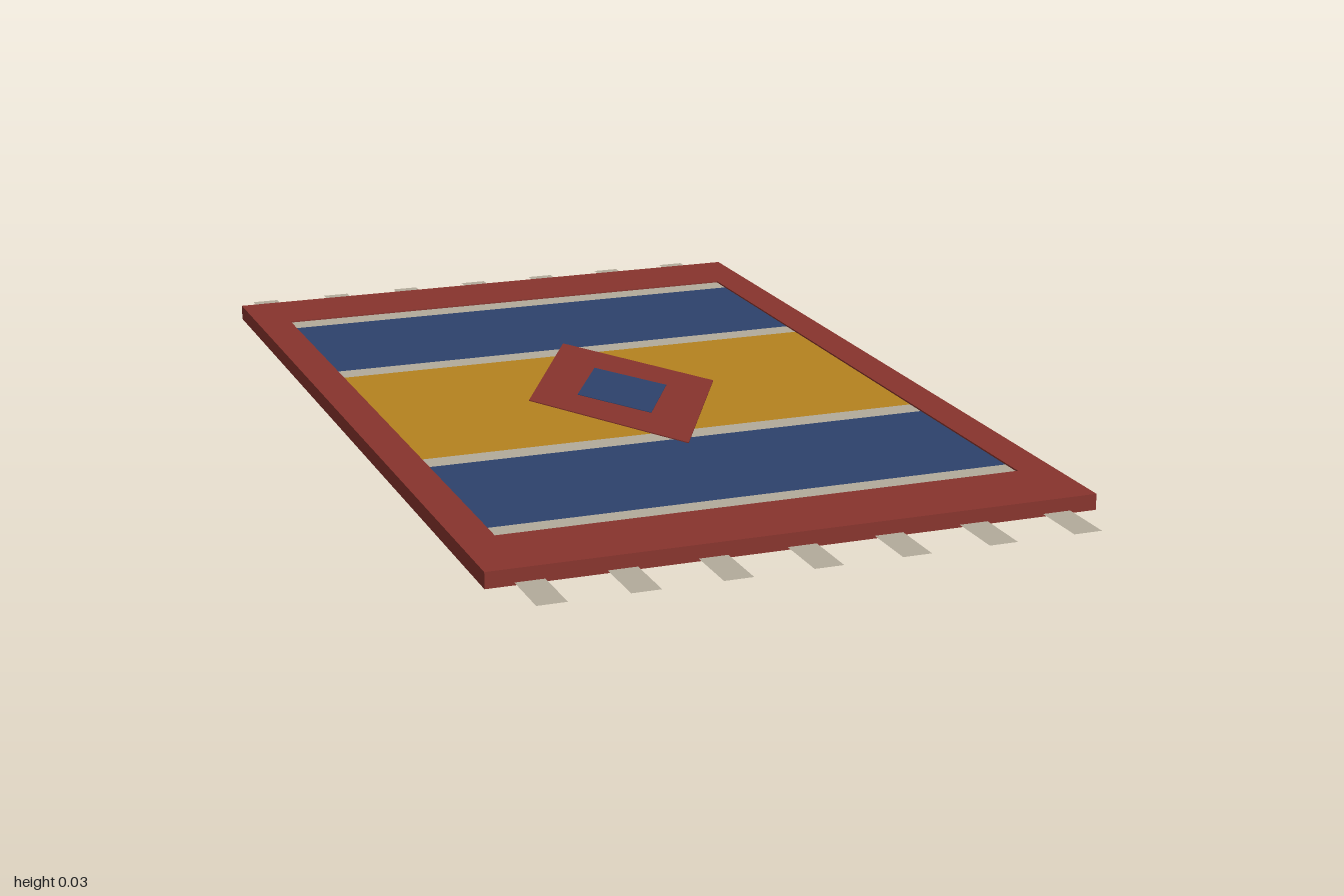
import * as THREE from 'three';

const mat = (name, color) => {
  const m = new THREE.MeshStandardMaterial({ color, side: THREE.DoubleSide });
  m.name = name;
  return m;
};

export function createModel() {
  const red = mat('brick red', 0x88342d);
  const blue = mat('navy blue', 0x2d426c);
  const gold = mat('ochre gold', 0xb5821f);
  const cream = mat('cream grey', 0xb3ab9b);

  const W = 1.135, L = 1.775, H = 0.03, WALL = 0.004;
  const rug = new THREE.Group();
  rug.name = 'rug';

  const add = (name, geometry, material, x, y, z) => {
    const mesh = new THREE.Mesh(geometry, material);
    mesh.name = name;
    mesh.position.set(x, y, z);
    rug.add(mesh);
    return mesh;
  };
  const box = (name, material, w, h, d, x, y, z) =>
    add(name, new THREE.BoxGeometry(w, h, d), material, x, y, z);

  // Woven bands across the full width, mirrored front to back
  const bottom = 0.012, top = 0.027;
  const band = (name, material, z0, z1, y1 = top) =>
    box(name, material, W - 2 * WALL, y1 - bottom, z1 - z0, 0, (bottom + y1) / 2, (z0 + z1) / 2);
  band('centreBand', gold, -0.28, 0.28);
  const bands = [
    ['innerStripe', cream, 0.28, 0.327],
    ['wideBand', blue, 0.327, 0.677],
    ['outerStripe', cream, 0.677, 0.725],
    ['endBorder', red, 0.725, L / 2 - WALL, H],
  ];
  for (const s of [-1, 1]) {
    for (const [name, material, a, b, y1] of bands) {
      band(name, material, s > 0 ? a : -b, s > 0 ? b : -a, y1);
    }
    // Side border laid over the bands, and the outer edging
    box('sideBorder', red, 0.07 - WALL, H - top, 1.45, s * (0.4975 + (0.07 - WALL) / 2), (H + top) / 2, 0);
    box('sideEdge', red, WALL, H, L, s * (W - WALL) / 2, H / 2, 0);
    box('endEdge', red, W - 2 * WALL, H, WALL, 0, H / 2, s * (L - WALL) / 2);

    // Flat fringe tassels
    for (let i = -3; i <= 3; i++) {
      const tassel = add('tassel', new THREE.PlaneGeometry(0.054, 0.113), cream, i * 0.163, 0.005, s * 0.9435);
      tassel.rotation.x = -Math.PI / 2;
    }
  }

  // Central medallion: two stacked diamonds
  const diamond = (name, material, rx, rz, y, depth) => {
    const shape = new THREE.Shape([
      new THREE.Vector2(rx, 0), new THREE.Vector2(0, rz),
      new THREE.Vector2(-rx, 0), new THREE.Vector2(0, -rz),
    ]);
    const g = new THREE.ExtrudeGeometry(shape, { depth, bevelEnabled: false });
    g.rotateX(-Math.PI / 2);
    add(name, g, material, 0, y, 0);
  };
  diamond('medallion', red, 0.195, 0.36, top, 0.002);
  diamond('medallionCentre', blue, 0.094, 0.163, top + 0.002, 0.001);

  return rug;
}
